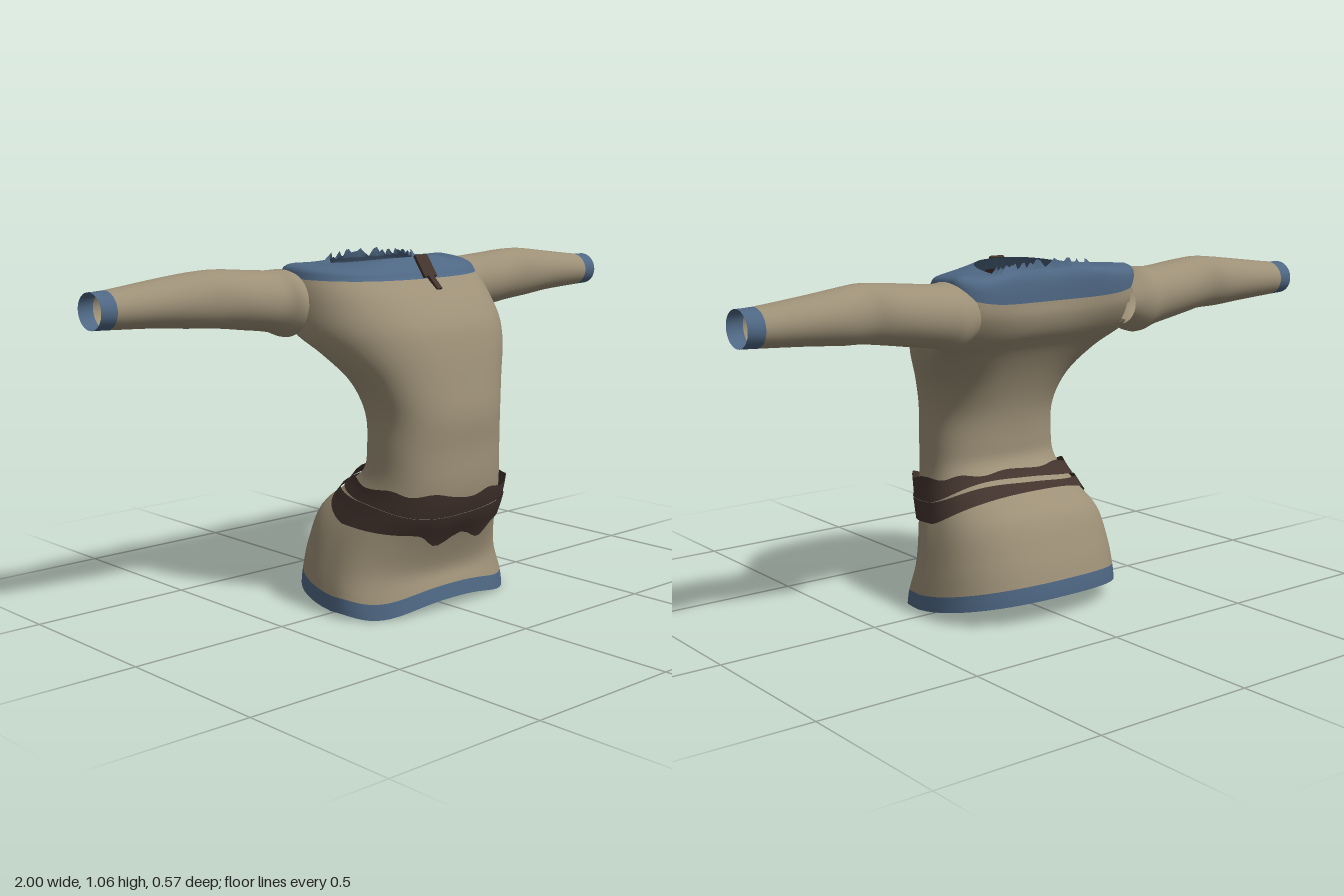
import * as THREE from 'three';

const mat = (name, color) => {
  const m = new THREE.MeshStandardMaterial({ color, side: THREE.DoubleSide });
  m.name = name;
  return m;
};

// Torso rings, bottom to top:
// half width, front z, front y, side z, side y, back z, back y, back hollow, front dip
const RINGS = [
  [0.33, 0.205, 0.035, 0.02, 0.02, -0.28, 0.075, 0, 0.025],
  [0.325, 0.197, 0.078, 0.02, 0.065, -0.275, 0.125, 0, 0.022],
  [0.31, 0.185, 0.13, 0.0, 0.14, -0.25, 0.21, 0, 0],
  [0.285, 0.215, 0.22, 0.0, 0.24, -0.205, 0.31, 0, 0],
  [0.25, 0.25, 0.3, 0.05, 0.33, -0.12, 0.37, 0, 0],
  [0.222, 0.268, 0.39, 0.1, 0.41, -0.04, 0.435, 0, 0],
  [0.215, 0.27, 0.5, 0.115, 0.5, -0.03, 0.5, 0, 0],
  [0.215, 0.275, 0.6, 0.11, 0.6, -0.04, 0.6, 0, 0],
  [0.245, 0.26, 0.7, 0.08, 0.69, -0.085, 0.7, 0.01, 0],
  [0.3, 0.24, 0.8, 0.0, 0.77, -0.15, 0.79, 0.025, 0],
  [0.34, 0.215, 0.87, -0.1, 0.84, -0.215, 0.85, 0.04, 0],
  [0.345, 0.16, 0.94, -0.15, 0.93, -0.255, 0.9, 0.06, 0],
  [0.335, 0.1, 0.99, -0.16, 0.995, -0.265, 0.945, 0.07, 0],
  [0.31, 0.085, 1.01, -0.17, 1.035, -0.25, 1.01, 0.06, 0],
  [0.17, 0.05, 1.052, -0.15, 1.03, -0.185, 1.045, 0.015, 0],
];
const TOP = RINGS.length - 1;

// Smooth interpolation between rows of numbers
function sample(rows, v) {
  const n = rows.length - 1;
  const i = Math.min(n - 1, Math.max(0, Math.floor(v)));
  const t = v - i;
  const [p, q, r, s] = [i - 1, i, i + 1, i + 2].map(k => rows[Math.min(n, Math.max(0, k))]);
  return q.map((b, k) => {
    const m0 = (r[k] - p[k]) / 2, m1 = (s[k] - b) / 2, d = r[k] - b;
    return b + t * (m0 + t * (3 * d - 2 * m0 - m1 + t * (m0 + m1 - 2 * d)));
  });
}

const power = (x, e) => Math.sign(x) * Math.pow(Math.abs(x), e);
const bump = (x, w) => Math.exp(-(x * x) / (w * w));

// Point on the torso at height v and angle a (0 = front), pushed out by offset
function torsoPoint(v, a, offset = 0) {
  const [w, zf, yf, zs, ys, zb, yb, hollow, dip] = sample(RINGS, v);
  const s = Math.sin(a), c = Math.cos(a), cz = power(c, 0.8), f = Math.abs(c);
  const x = w * power(s, 0.8);
  const z = c > 0 ? zs + (zf - zs) * cz : zs + (zs - zb) * cz + hollow * Math.pow(f, 6);
  const y = ys + ((c > 0 ? yf : yb) - ys) * f - (c > 0 ? dip * Math.sin(2 * a) ** 2 : 0);
  return [x + offset * s, y, z + offset * c];
}

// Grid surface from point(u, v), u around and v along; skip(p) leaves holes
function surface(point, nu, nv, skip) {
  const pos = [], idx = [];
  for (let j = 0; j <= nv; j++)
    for (let i = 0; i < nu; i++) pos.push(...point((i / nu) * Math.PI * 2, j / nv));
  const at = k => new THREE.Vector3().fromArray(pos, k * 3);
  for (let j = 0; j < nv; j++)
    for (let i = 0; i < nu; i++) {
      const a = j * nu + i, b = j * nu + (i + 1) % nu, c = b + nu, d = a + nu;
      if (skip && skip(at(a).add(at(c)).multiplyScalar(0.5))) continue;
      idx.push(a, b, c, a, c, d);
    }
  const g = new THREE.BufferGeometry();
  g.setAttribute('position', new THREE.Float32BufferAttribute(pos, 3));
  g.setIndex(idx);
  g.computeVertexNormals();
  return g;
}

// Sleeve sections: x, bottom y, top y, back z, front z
const SLEEVE = [
  [0.29, 0.85, 0.99, -0.245, -0.08],
  [0.345, 0.822, 1.02, -0.268, -0.05],
  [0.4, 0.84, 1.02, -0.265, -0.08],
  [0.5, 0.855, 1.028, -0.255, -0.07],
  [0.57, 0.865, 1.034, -0.24, -0.075],
  [0.63, 0.872, 1.036, -0.222, -0.08],
  [0.7, 0.876, 1.03, -0.238, -0.085],
  [0.8, 0.885, 1.018, -0.24, -0.095],
  [0.95, 0.893, 1.0, -0.225, -0.103],
  [1.0, 0.895, 0.998, -0.22, -0.105],
];

export function createModel() {
  const root = new THREE.Group();
  root.name = 'tunic';
  const cloth = mat('tan cloth', 0x9d9077);
  const trim = mat('blue trim', 0x4e6783);
  const leather = mat('brown leather', 0x42332d);
  const add = (name, geometry, material) => {
    const m = new THREE.Mesh(geometry, material);
    m.name = name;
    root.add(m);
    return m;
  };

  // Torso, hem and shoulder yoke, with open armholes
  const armhole = p => Math.abs(p.x) > 0.28 && Math.hypot(p.y - 0.925, p.z + 0.163) < 0.07;
  const band = (v0, v1) => (a, t) => torsoPoint(v0 + (v1 - v0) * t, a);
  add('hem', surface(band(0, 1), 72, 3), trim);
  add('torso', surface(band(1, 12), 96, 55, armhole), cloth);
  // The back of the neckline is ragged
  let seed = 7;
  const rand = () => (seed = (seed * 16807) % 2147483647) / 2147483647;
  add('shoulderYoke', surface((a, t) => {
    const p = torsoPoint(12 + (TOP - 12) * t, a);
    if (t === 1 && Math.cos(a) < -0.1) p[1] += rand() * 0.032 - 0.008;
    return p;
  }, 96, 10), trim);

  // Sleeves and cuffs
  for (const side of [1, -1]) {
    const name = side > 0 ? 'left' : 'right';
    const part = (v0, v1) => (a, t) => {
      const [x, y0, y1, z0, z1] = sample(SLEEVE, v0 + (v1 - v0) * t);
      return [side * x, (y0 + y1) / 2 + ((y1 - y0) / 2) * Math.cos(a),
        (z0 + z1) / 2 + side * ((z1 - z0) / 2) * Math.sin(a)];
    };
    add(name + 'Sleeve', surface(part(0, 8), 36, 32), cloth);
    add(name + 'Cuff', surface(part(8, 9), 36, 2), trim);
  }

  // Belt of two straps that part at the back, with two flaps at the front
  const wrap = a => (a > Math.PI ? a - Math.PI * 2 : a);
  const back = a => Math.max(0, -Math.cos(a));
  const low = a => 3.4 + 0.55 * back(a) - 0.5 * bump(Math.abs(wrap(a)) - 0.22, 0.17);
  const high = a => 4.85 + 0.06 * Math.sin(a * 9) - 0.12 * bump(wrap(a), 0.12);
  const mid = a => 4.15 + 0.25 * back(a) + 0.1 * Math.sin(a * 3);
  const gap = a => 0.09 * back(a);
  const strap = (from, to, o0, o1) => (a, t) =>
    torsoPoint(from(a) + (to(a) - from(a)) * t, a, o0 + (o1 - o0) * t);
  add('upperBelt', surface(strap(a => mid(a) + gap(a), high, 0.015, 0.022), 96, 6), leather);
  add('lowerBelt', surface(strap(low, a => mid(a) - gap(a), 0.008, 0.018), 96, 6), leather);
  // Belt lining seen inside the front of the skirt
  add('beltLining', surface(strap(low, high, -0.006, -0.006), 96, 8, p => p.z < 0.08), leather);

  // Collar clasp
  const clasp = add('collarClasp', new THREE.BoxGeometry(0.05, 0.075, 0.009), leather);
  clasp.position.set(0, 1.025, 0.079);
  clasp.rotation.x = -0.62;
  const tab = add('claspTab', new THREE.BoxGeometry(0.02, 0.06, 0.009), leather);
  tab.position.set(0, 0.981, 0.117);
  tab.rotation.x = -0.8;
  return root;
}
